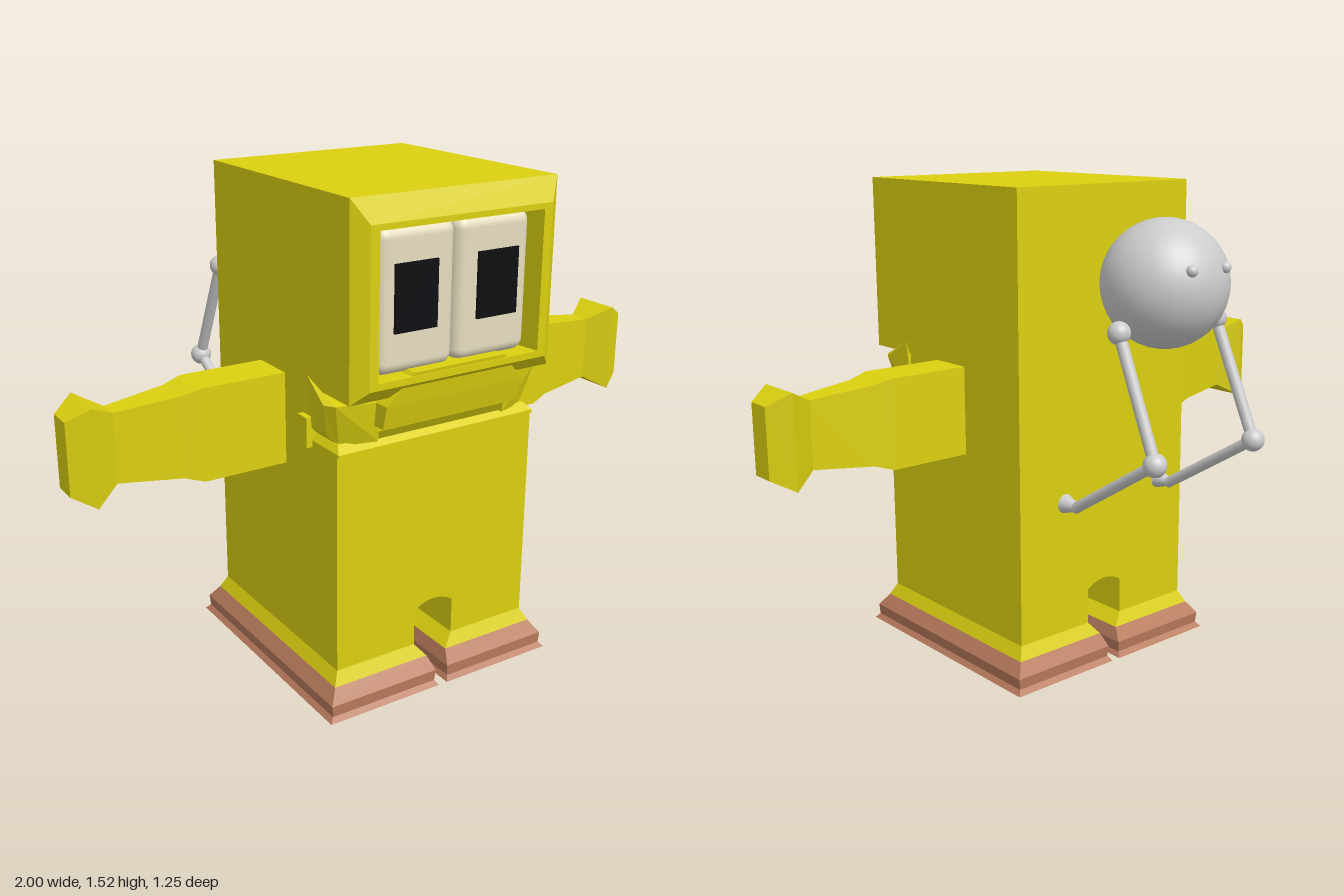
import * as THREE from 'three';
import { RoundedBoxGeometry } from 'three/addons/geometries/RoundedBoxGeometry.js';

const mat = (name, color) => {
  const m = new THREE.MeshStandardMaterial({ color });
  m.name = name;
  return m;
};

// Skin between rings of four corners, capped at both ends, facing outward
function loft(rings) {
  const tris = [];
  const quad = (a, b, c, d) => tris.push([a, b, c], [a, c, d]);
  for (let i = 0; i < rings.length - 1; i++) {
    for (let k = 0; k < 4; k++) {
      const n = (k + 1) % 4;
      quad(rings[i][k], rings[i][n], rings[i + 1][n], rings[i + 1][k]);
    }
  }
  const first = rings[0], last = rings[rings.length - 1];
  quad(first[3], first[2], first[1], first[0]);
  quad(last[0], last[1], last[2], last[3]);
  let volume = 0;
  for (const [a, b, c] of tris) volume += a.dot(b.clone().cross(c));
  const points = tris.flatMap(t => (volume < 0 ? [t[0], t[2], t[1]] : t));
  const g = new THREE.BufferGeometry().setFromPoints(points);
  g.computeVertexNormals();
  return g;
}

// Rectangular sections [t, a0, a1, b0, b1] along an axis; a and b are the other axes in xyz order
function sections(axis, list) {
  const place = {
    x: (t, a, b) => new THREE.Vector3(t, a, b),
    y: (t, a, b) => new THREE.Vector3(a, t, b),
    z: (t, a, b) => new THREE.Vector3(a, b, t),
  }[axis];
  return loft(list.map(([t, a0, a1, b0, b1]) =>
    [[a0, b0], [a1, b0], [a1, b1], [a0, b1]].map(([a, b]) => place(t, a, b))));
}

export function createModel() {
  const root = new THREE.Group();
  root.name = 'boxCharacterWithCompanion';
  const yellow = mat('yellow', 0xdbd010);
  const brown = mat('brown', 0xb87a5c);
  const cream = mat('cream', 0xe8dfc0);
  const black = mat('black', 0x0e0f12);
  const grey = mat('grey', 0xcccccc);

  const add = (name, geometry, material, x = 0, y = 0, z = 0) => {
    const m = new THREE.Mesh(geometry, material);
    m.name = name;
    m.position.set(x, y, z);
    root.add(m);
    return m;
  };
  const box = (name, material, x0, x1, y0, y1, z0, z1) =>
    add(name, new THREE.BoxGeometry(x1 - x0, y1 - y0, z1 - z0), material,
      (x0 + x1) / 2, (y0 + y1) / 2, (z0 + z1) / 2);

  // Lower body with the arch between the legs
  const front = new THREE.Shape();
  front.moveTo(0.07, 0.13);
  front.lineTo(0.345, 0.13);
  front.lineTo(0.345, 0.8);
  front.lineTo(-0.345, 0.8);
  front.lineTo(-0.345, 0.13);
  front.lineTo(-0.07, 0.13);
  front.lineTo(-0.07, 0.245);
  front.quadraticCurveTo(0, 0.29, 0.07, 0.245);
  front.closePath();
  add('lowerBody', new THREE.ExtrudeGeometry(front, { depth: 0.69, bevelEnabled: false, curveSegments: 8 }),
    yellow, 0, 0, -0.16);
  box('upperBody', yellow, -0.345, 0.345, 0.8, 1.525, -0.16, 0.4);

  // Head front: bevelled frame with a recessed face
  add('headFrame', sections('z', [
    [0.4, -0.345, 0.345, 0.97, 1.525],
    [0.59, -0.345, 0.345, 0.97, 1.525],
    [0.625, -0.303, 0.303, 1.01, 1.457],
    [0.625, -0.275, 0.275, 1.03, 1.44],
    [0.54, -0.265, 0.265, 1.03, 1.435],
  ]), yellow);

  // Mouth: overhanging upper lip, lower lip and rim on the body
  add('upperLip', sections('y', [
    [0.88, -0.235, 0.235, 0.42, 0.59],
    [0.95, -0.235, 0.235, 0.42, 0.607],
    [1.04, -0.155, 0.155, 0.5, 0.623],
  ]), yellow);
  add('lowerLip', sections('y', [
    [0.83, -0.235, 0.235, 0.38, 0.53],
    [0.86, -0.225, 0.225, 0.38, 0.55],
    [0.885, -0.225, 0.225, 0.38, 0.55],
  ]), yellow);
  add('bodyRim', sections('y', [
    [0.8, -0.345, 0.345, 0.38, 0.538],
    [0.81, -0.345, 0.345, 0.38, 0.538],
    [0.83, -0.33, 0.33, 0.38, 0.51],
  ]), yellow);

  for (const s of [1, -1]) {
    const side = s > 0 ? 'left' : 'right';

    // Cheek flaring out at the mouth corner
    const v = (x, y, z) => new THREE.Vector3(s * x, y, z);
    add(side + 'Cheek', loft([
      [v(0.22, 0.83, 0.4), v(0.22, 0.83, 0.545), v(0.22, 0.95, 0.56), v(0.22, 0.97, 0.4)],
      [v(0.32, 0.82, 0.4), v(0.32, 0.82, 0.5), v(0.35, 0.95, 0.53), v(0.35, 0.97, 0.4)],
      [v(0.347, 0.85, 0.4), v(0.347, 0.85, 0.48), v(0.37, 0.95, 0.5), v(0.362, 1.01, 0.4)],
    ]), yellow);
    box(side + 'MouthHinge', yellow, s * 0.352 - 0.012, s * 0.352 + 0.012, 0.79, 0.88, 0.35, 0.4);

    // Eye with its pupil
    add(side + 'Eye', new RoundedBoxGeometry(0.256, 0.41, 0.11, 4, 0.035), cream, s * 0.129, 1.235, 0.54);
    box(side + 'Pupil', black, s * 0.138 - 0.07, s * 0.138 + 0.07, 1.15, 1.34, 0.594, 0.602);

    // Leg flare and foot
    const leg = (list) => sections('y', list.map(([y, x0, x1, z0, z1]) => [y, s * x0, s * x1, z0, z1]));
    add(side + 'Ankle', leg([
      [0.09, 0.036, 0.365, -0.18, 0.55],
      [0.13, 0.07, 0.345, -0.16, 0.53],
    ]), yellow);
    add(side + 'Foot', leg([
      [0, 0.015, 0.403, -0.22, 0.59],
      [0.015, 0.025, 0.39, -0.205, 0.578],
      [0.05, 0.022, 0.393, -0.208, 0.58],
      [0.09, 0.036, 0.365, -0.18, 0.55],
    ]), brown);

    // Arm tapering to a flared hand
    add(side + 'Arm', sections('x', [
      [0.34, 0.69, 0.97, 0.108, 0.25],
      [0.61, 0.69, 0.97, 0.108, 0.25],
      [0.67, 0.71, 0.955, 0.122, 0.238],
      [0.86, 0.73, 0.937, 0.148, 0.215],
      [0.935, 0.688, 0.977, 0.104, 0.26],
      [1.0, 0.725, 0.94, 0.146, 0.225],
    ].map(([x, ...r]) => [s * x, ...r])), yellow);
  }

  // Round companion floating behind
  const ball = (name, r, x, y, z) => add(name, new THREE.SphereGeometry(r, 32, 20), grey, x, y, z);
  const rod = (name, a, b, r0, r1) => {
    const d = b.clone().sub(a), mid = a.clone().add(b).multiplyScalar(0.5);
    const m = add(name, new THREE.CylinderGeometry(r1, r0, d.length(), 20), grey, mid.x, mid.y, mid.z);
    m.quaternion.setFromUnitVectors(new THREE.Vector3(0, 1, 0), d.normalize());
  };
  ball('companionBody', 0.19, 0, 1.25, -0.41);
  for (const s of [1, -1]) {
    const side = s > 0 ? 'Left' : 'Right';
    const shoulder = new THREE.Vector3(s * 0.2, 1.13, -0.43);
    const elbow = new THREE.Vector3(s * 0.207, 0.78, -0.587);
    const wrist = new THREE.Vector3(s * 0.2, 0.568, -0.245);
    ball('companion' + side + 'Eye', 0.017, s * 0.068, 1.307, -0.58);
    ball('companion' + side + 'Shoulder', 0.034, ...shoulder);
    ball('companion' + side + 'Elbow', 0.035, ...elbow);
    rod('companion' + side + 'UpperArm', shoulder, elbow, 0.018, 0.018);
    rod('companion' + side + 'Forearm', elbow, wrist, 0.017, 0.017);
    rod('companion' + side + 'Hand', new THREE.Vector3(s * 0.2, 0.572, -0.255),
      new THREE.Vector3(s * 0.2, 0.572, -0.2), 0.012, 0.03);
  }
  return root;
}
